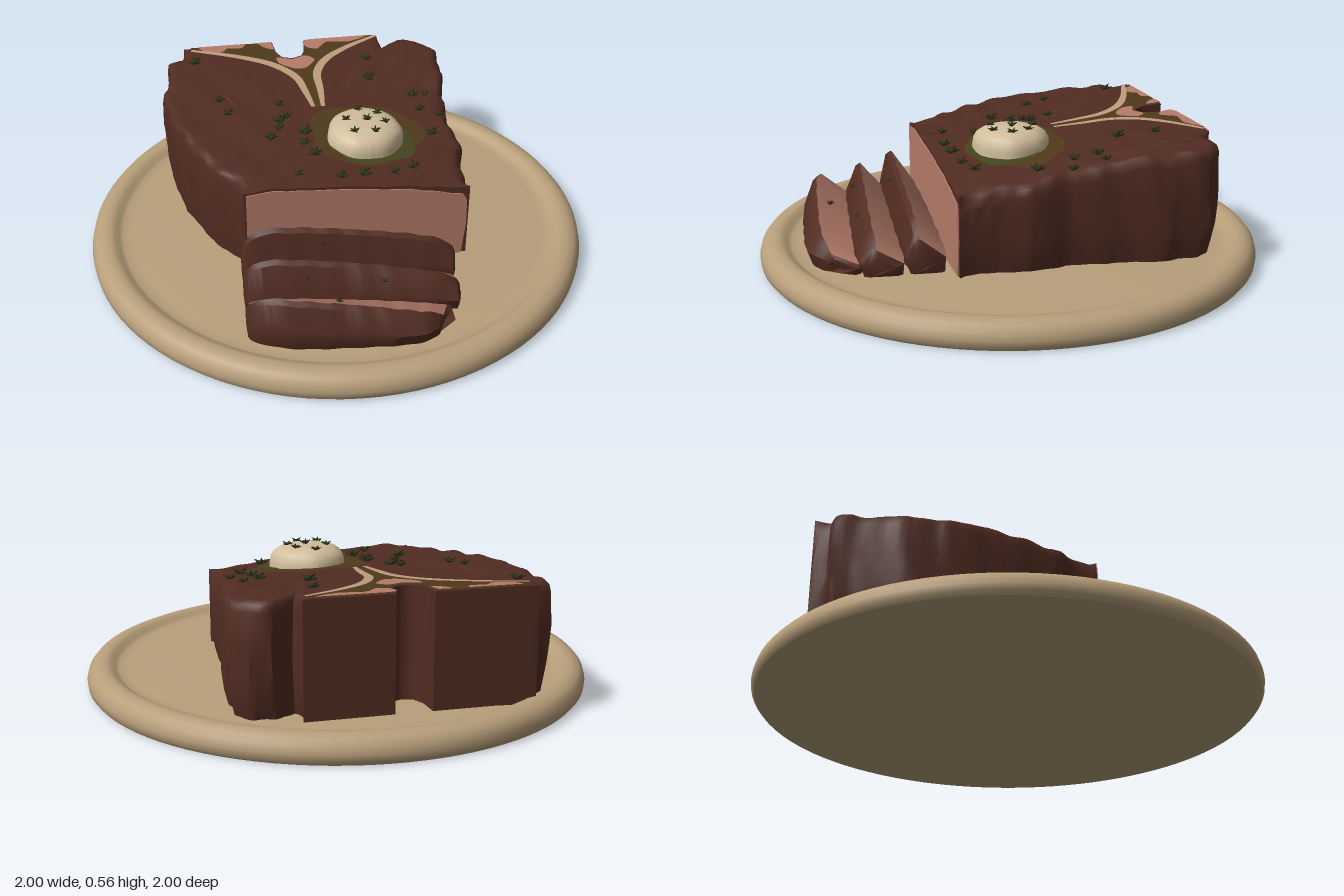
import * as THREE from 'three';
import { toCreasedNormals, mergeGeometries } from 'three/addons/utils/BufferGeometryUtils.js';

const mat = (name, color, side = THREE.FrontSide) => {
  const m = new THREE.MeshStandardMaterial({ color, side });
  m.name = name;
  return m;
};
const clamp = (v) => Math.min(1, Math.max(0, v));

// Height of the steak's upper surface, calm around the bone and the butter
function topY(x, z) {
  const drop = 0.075 * Math.pow(clamp((x + 0.37) / 0.85), 2) * clamp((z + 0.4) / 0.72);
  const bone = clamp((z + 0.4 + 0.55 * Math.abs(x + 0.08)) * 8) * clamp((Math.abs(x + 0.06) - 0.06) * 10);
  const butter = clamp((Math.hypot(x - 0.11, z) - 0.24) * 6);
  const bump = Math.sin(17 * x + 9 * z) * Math.sin(27 * z - 8 * x) + 0.5 * Math.sin(48 * x + 31 * z);
  return 0.473 - 0.057 * z - drop + 0.007 * bump * bone * butter;
}

// Skin over rings of points; partOf(segment, ring) picks the material slot
function loft(rings, partOf = () => 0) {
  const n = rings[0].length, sets = [[], []];
  for (let i = 0; i < rings.length - 1; i++) for (let j = 0; j < n; j++) {
    const a = i * n + j, b = i * n + (j + 1) % n;
    sets[partOf(j, i)].push(a, b, b + n, a, b + n, a + n);
  }
  const g = new THREE.BufferGeometry();
  g.setAttribute('position', new THREE.Float32BufferAttribute(rings.flat(2), 3));
  g.setIndex(sets.flat());
  g.addGroup(0, sets[0].length, 0);
  if (sets[1].length) g.addGroup(sets[0].length, sets[1].length, 1);
  return g;
}

// Steak outline from above, counter-clockwise from the cut front
const OUTLINE = [[-0.4, 0.32], [0.47, 0.32], [0.47, 0.17], [0.5, 0.06], [0.48, -0.1], [0.505, -0.3], [0.54, -0.48],
  [0.535, -0.63], [0.48, -0.7], [0.4, -0.71], [0.32, -0.66], [0.3, -0.735], [-0.03, -0.735], [-0.038, -0.65],
  [-0.06, -0.605], [-0.1, -0.59], [-0.14, -0.605], [-0.162, -0.65], [-0.17, -0.735], [-0.56, -0.735], [-0.58, -0.68],
  [-0.64, -0.66], [-0.63, -0.58], [-0.665, -0.4], [-0.65, -0.25], [-0.62, -0.13], [-0.57, 0], [-0.5, 0.15], [-0.42, 0.24]];

function steakGeometry() {
  const pts = [];
  OUTLINE.forEach(([x, z], i) => {
    const [x2, z2] = OUTLINE[(i + 1) % OUTLINE.length];
    const steps = Math.max(2, Math.round(Math.hypot(x2 - x, z2 - z) / 0.02));
    // Cut front and bone back stay flat
    const flat = i === 0 || (i >= 11 && i <= 18);
    for (let s = 0; s < steps; s++) {
      const t = s / steps;
      const soft = flat || (s === 0 && (i === 1 || i === 19)) ? 0 : 1;
      pts.push([x + (x2 - x) * t, z + (z2 - z) * t, soft]);
    }
  });
  const cx = -0.1, cz = 0.1;
  const at = (k, y) => pts.map(([x, z, soft], j) => {
    const wave = soft * (0.007 * Math.sin(j * 0.61 + y * 7) + 0.005 * Math.sin(j * 1.37 + y * 25));
    const s = soft ? k + wave : 1;
    return [cx + (x - cx) * s, y, cz + (z - cz) * s];
  });
  const rings = [[0.965, 0.07], [0.985, 0.13], [1, 0.2], [1, 0.27], [1.005, 0.34]].map(([k, y]) => at(k, y));
  // Rounded shoulder, then rings closing over the top
  for (const [k, down] of [[1, 0.045], [0.992, 0.02], [0.97, 0.006]])
    rings.push(at(k, 0.4).map(([x, , z], j) => [x, topY(x, z) - (pts[j][2] ? down : down * 0.25), z]));
  for (const k of [0.94, 0.9, 0.85, 0.8, 0.74, 0.68, 0.62, 0.55, 0.48, 0.4, 0.3, 0.2, 0.1, 0.001])
    rings.push(pts.map(([px, pz]) => {
      const x = cx + (px - cx) * k, z = cz + (pz - cz) * k;
      return [x, topY(x, z), z];
    }));
  return toCreasedNormals(loft(rings), 0.8);
}

// Leaning slice: cross-section in z and y carried along x
function sliceGeometry({ back, peak, front, h, left, right, skew, bow }) {
  const rings = [], n = 30;
  for (let i = 0; i <= n; i++) {
    const t = i / n, x = left + (right - left) * t, edge = Math.abs(2 * t - 1);
    const end = 1 - 0.22 * Math.pow(edge, 10);
    const top = 0.07 + (h - 0.11 * Math.pow(t, 1.7) - 0.07) * end + 0.002 * Math.sin(i * 1.7);
    const dz = skew * (t - 0.5) + 0.002 * Math.sin(i * 1.3);
    const low = 0.07 + (top - 0.07) * 0.45;
    // Rows nearer the front lean back at both ends and stop a little shorter
    rings.push([[back, 0.07, 0], [back - 0.005, low, 0], [peak, top, 0.7], [peak + 0.02, top - 0.012, 0.8],
      [front, low + 0.01, 1], [front + 0.005, 0.13, 1], [front - 0.015, 0.07, 1]]
      .map(([z, y, f]) => [x - f * bow * Math.pow(t, 6), y, z + dz - f * bow * Math.pow(edge, 4)]));
  }
  const cap = (ring, out) => {
    const y = (ring[1][1] + 0.07) / 2, z = (ring[0][2] + ring[4][2]) / 2;
    return [0.001, 0.7].map((k) => ring.map((p) => [p[0] + out * (k < 0.1 ? 1.2 : 1),
      y + (p[1] - y) * k, z + (p[2] - z) * k]));
  };
  const all = [...cap(rings[0], -0.012), ...rings, ...cap(rings[n], 0.012).reverse()];
  // Cut faces are pink, front and both ends are crust
  return toCreasedNormals(loft(all, (j, i) => (j < 2 && i > 1 && i < n + 2 ? 1 : 0)), 0.6);
}

// Lay a flat geometry on the steak's upper surface
function drape(g, lift) {
  g.rotateX(-Math.PI / 2);
  const p = g.attributes.position;
  for (let i = 0; i < p.count; i++) p.setY(i, topY(p.getX(i), p.getZ(i)) + lift);
  g.computeVertexNormals();
  return g;
}
const patch = (pts, lift) =>
  drape(new THREE.ShapeGeometry(new THREE.Shape(pts.map(([x, z]) => new THREE.Vector2(x, -z)))), lift);

// Patch with softly rounded edge
function blob(pts, lift) {
  const curve = new THREE.CatmullRomCurve3(pts.map(([x, z]) => new THREE.Vector3(x, 0, z)), true, 'catmullrom', 0.35);
  return patch(curve.getPoints(40).slice(0, -1).map((p) => [p.x, Math.max(p.z, -0.733)]), lift);
}

function puddle(cx, cz, rx, rz, lift, seed) {
  const g = new THREE.RingGeometry(0.001, 1, 48, 8), p = g.attributes.position;
  for (let i = 0; i < p.count; i++) {
    const x = p.getX(i), y = p.getY(i), a = Math.atan2(y, x);
    const k = 1 + 0.07 * Math.sin(3 * a + seed) + 0.05 * Math.sin(5 * a + seed * 2);
    p.setXY(i, cx + x * rx * k, -cz + y * rz * k);
  }
  return drape(g, lift);
}

// Ribbon of tapering width along a curve
function ribbon(path, width, lift) {
  const curve = new THREE.CatmullRomCurve3(path.map(([x, z]) => new THREE.Vector3(x, -z, 0)));
  const a = [], b = [], n = 24;
  for (let i = 0; i <= n; i++) {
    const p = curve.getPoint(i / n), t = curve.getTangent(i / n);
    const w = width * (0.45 + 0.55 * Math.sin(Math.PI * i / n)) / 2;
    a.push([p.x - t.y * w, -(p.y + t.x * w)]);
    b.push([p.x + t.y * w, -(p.y - t.x * w)]);
  }
  return patch([...a, ...b.reverse()], lift);
}

// Small sprig of pointed leaves
function sprigGeometry() {
  const leaves = [];
  for (let i = 0; i < 7; i++) {
    const leaf = new THREE.ConeGeometry(0.011, 0.036, 4);
    leaf.translate(0, 0.015, 0).rotateZ(-1.3 + 0.35 * (i % 2)).rotateY(i * 0.9);
    leaves.push(leaf);
  }
  return mergeGeometries(leaves);
}

export function createModel() {
  const model = new THREE.Group();
  const D = THREE.DoubleSide;
  const wood = mat('plateTan', 0xb89f7b), crust = mat('crustBrown', 0x512c22), pink = mat('meatPink', 0xb47b69, D);
  const cream = mat('butterCream', 0xd0be9c), bone = mat('boneTan', 0xbd9c7c, D), olive = mat('marrowOlive', 0x4f391b, D);
  const juice = mat('herbOilGreen', 0x45461e, D), herb = mat('herbGreen', 0x2f351b);
  const add = (name, geometry, material) => {
    const m = new THREE.Mesh(geometry, material);
    m.name = name;
    model.add(m);
    return m;
  };
  const lathe = (pts, n) => new THREE.LatheGeometry(pts.map(([x, y]) => new THREE.Vector2(x, y)), n);

  // Round plate with raised rim
  add('plate', toCreasedNormals(lathe([[0, 0], [0.985, 0], [0.997, 0.015], [1, 0.04], [0.992, 0.068], [0.975, 0.088],
    [0.95, 0.098], [0.925, 0.1], [0.905, 0.094], [0.89, 0.08], [0.875, 0.073], [0.84, 0.076], [0, 0.078]], 96), 0.8), wood);

  // Steak with a cut front face
  add('steak', steakGeometry(), crust);
  const face = new THREE.Shape([[-0.395, 0.07], [0.45, 0.07], [0.463, 0.22], [0.46, 0.33]].map((p) => new THREE.Vector2(...p)));
  for (let i = 0; i <= 16; i++) {
    const x = 0.445 - 0.835 * i / 16;
    face.lineTo(x, topY(x, 0.32) - 0.012 - 0.02 * Math.pow(clamp((x + 0.4) / 0.84), 6));
  }
  add('cutFace', new THREE.ExtrudeGeometry(face, { depth: 0.006, bevelEnabled: false }).translate(0, 0, 0.319), pink);

  // Three leaning slices
  [{ back: 0.335, peak: 0.435, front: 0.485, h: 0.36, left: -0.41, right: 0.385, skew: 0.04, bow: 0.01 },
    { back: 0.475, peak: 0.58, front: 0.645, h: 0.315, left: -0.415, right: 0.37, skew: 0.07, bow: 0.015 },
    { back: 0.62, peak: 0.765, front: 0.82, h: 0.275, left: -0.42, right: 0.315, skew: 0.07, bow: 0.06 }]
    .forEach((s, i) => add('slice' + (i + 1), sliceGeometry(s), [crust, pink]));

  // Bone: marrow, pink patches and pale edges
  add('boneMarrow', patch([[-0.54, -0.733], [-0.172, -0.733], [-0.164, -0.65], [-0.142, -0.603], [-0.1, -0.587],
    [-0.058, -0.603], [-0.036, -0.65], [-0.028, -0.733], [0.29, -0.733], [0.09, -0.61], [0, -0.5], [-0.02, -0.36],
    [-0.03, -0.2], [-0.055, -0.2], [-0.08, -0.36], [-0.13, -0.48], [-0.25, -0.59]], 0.004), olive);
  [[[-0.49, -0.74], [-0.3, -0.74], [-0.31, -0.7], [-0.37, -0.705], [-0.4, -0.675], [-0.47, -0.69]],
    [[-0.24, -0.74], [-0.18, -0.73], [-0.172, -0.67], [-0.21, -0.69]],
    [[-0.02, -0.73], [0.26, -0.74], [0.17, -0.69], [0.07, -0.7], [0.02, -0.65], [-0.026, -0.67]],
    [[-0.165, -0.6], [-0.1, -0.578], [-0.04, -0.6], [-0.005, -0.56], [-0.05, -0.5], [-0.1, -0.5], [-0.16, -0.55]]]
    .forEach((p) => add('bonePinkPatch', blob(p, 0.006), pink));
  const edges = {
    boneEdgeLeft: [[-0.53, -0.705], [-0.33, -0.625], [-0.19, -0.54], [-0.105, -0.43], [-0.08, -0.32], [-0.062, -0.2]],
    boneEdgeRight: [[0.29, -0.72], [0.14, -0.635], [0.04, -0.55], [-0.01, -0.45], [-0.015, -0.32], [-0.022, -0.2]],
  };
  for (const [name, path] of Object.entries(edges)) add(name, ribbon(path, 0.036, 0.008), bone);

  // Butter in a puddle of herb oil
  add('meltedPuddle', puddle(0.115, 0, 0.225, 0.195, 0.005, 1), olive);
  add('herbOil', puddle(0.135, 0.05, 0.165, 0.15, 0.008, 2.5), juice);
  const butter = lathe([[0.15, 0.43], [0.15, 0.47], [0.146, 0.495], [0.134, 0.515], [0.112, 0.53], [0.08, 0.54], [0.04, 0.543], [0, 0.543]], 40);
  const bp = butter.attributes.position;
  for (let i = 0; i < bp.count; i++) {
    const a = Math.atan2(bp.getZ(i), bp.getX(i)), k = 1 + 0.02 * Math.sin(3 * a + 1) + 0.015 * Math.sin(7 * a);
    bp.setX(i, bp.getX(i) * k);
    bp.setZ(i, bp.getZ(i) * k);
  }
  butter.computeVertexNormals();
  add('butter', butter, cream).position.set(0.11, 0, 0.02);

  // Scattered herbs
  const sprig = sprigGeometry();
  const place = (x, y, z, s, i) => {
    const m = add('herb', sprig, herb);
    m.position.set(x, y, z);
    m.rotation.y = i * 1.9;
    m.scale.setScalar(s);
  };
  [[-0.44, -0.29], [-0.41, -0.2], [-0.52, -0.61], [-0.2, -0.23], [-0.18, -0.15], [-0.21, -0.13], [-0.22, -0.07], [-0.26, 0],
    [-0.12, -0.03], [-0.13, 0.04], [-0.1, 0.11], [-0.18, 0.23], [-0.02, 0.26], [0.07, 0.25], [0.19, 0.24], [0.27, 0.21],
    [0.2, -0.39], [0.22, -0.54], [0.36, -0.25], [0.42, -0.26], [0.37, -0.15], [0.39, 0], [0.45, -0.12]]
    .forEach(([x, z], i) => place(x, topY(x, z) + 0.004, z, 0.8 + 0.4 * ((i * 0.37) % 1), i));
  [[0.12, 0.02], [0.04, 0.0], [0.17, -0.03], [0.1, -0.07], [0.19, 0.04], [0.06, 0.09], [0.14, 0.1]]
    .forEach(([x, z], i) => place(x, 0.547 - 1.2 * ((x - 0.11) ** 2 + (z - 0.02) ** 2), z, 0.75, i));
  [[-0.12, 0.29, 0.457], [0.08, 0.22, 0.625], [-0.2, 0.25, 0.6], [-0.1, 0.22, 0.71]]
    .forEach(([x, y, z], i) => place(x, y, z, 0.6, i));
  return model;
}
